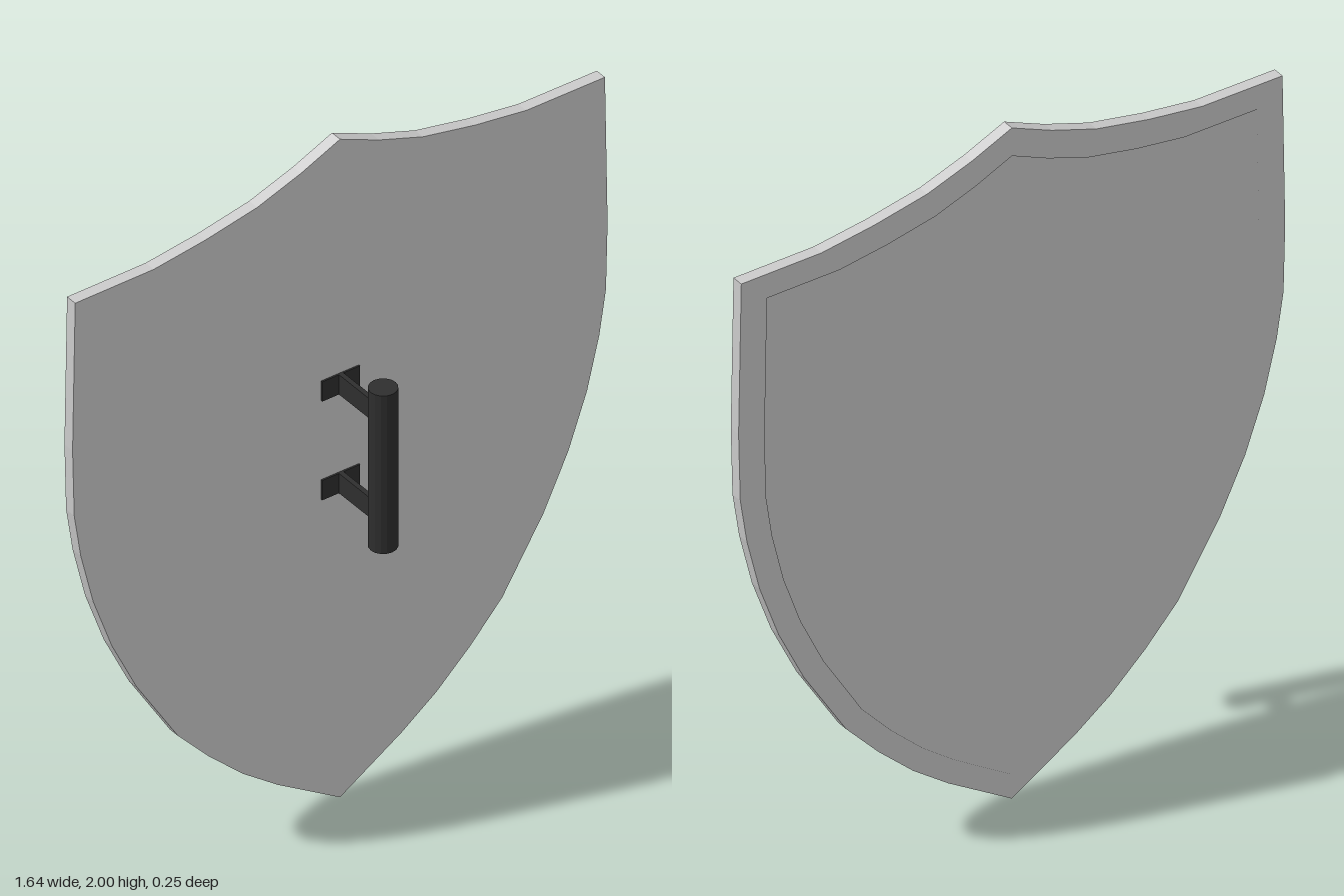
import * as THREE from 'three';

const BACK = -0.126, FRONT = -0.092, STEP = 0.003;

// Right half of the outline, from the top point down to the tip
const HALF = [
  [0, 2], [0.12, 1.947], [0.254, 1.9], [0.413, 1.868], [0.571, 1.846], [0.812, 1.845],
  [0.82, 1.4], [0.815, 1.2], [0.795, 1.07], [0.757, 0.915], [0.7, 0.757], [0.624, 0.6],
  [0.497, 0.397], [0.4, 0.292], [0.296, 0.196], [0.19, 0.118], [0, 0],
];

// Mirrored outline, optionally shrunk around the middle of the shield
function outline(sx = 1, sy = 1) {
  const mirrored = HALF.slice(1, -1).reverse().map(([x, y]) => [-x, y]);
  return [...HALF, ...mirrored].map(([x, y]) => new THREE.Vector2(x * sx, 0.93 + (y - 0.93) * sy));
}

export function createModel() {
  const model = new THREE.Group();
  const grey = new THREE.MeshStandardMaterial({ color: 0xcccccc, flatShading: true });
  const dark = new THREE.MeshStandardMaterial({ color: 0x2e2e2e, flatShading: true });

  function add(parent, name, geometry, material, x, y, z) {
    const mesh = new THREE.Mesh(geometry, material);
    mesh.name = name;
    mesh.position.set(x, y, z);
    parent.add(mesh);
  }
  const slab = (shape, depth) => new THREE.ExtrudeGeometry(shape, { depth, bevelEnabled: false });

  // Shield body, with a shallow border around the back panel
  add(model, 'shieldPlate', slab(new THREE.Shape(outline()), FRONT - BACK - STEP), grey, 0, 0, BACK + STEP);
  const border = new THREE.Shape(outline());
  border.holes.push(new THREE.Path(outline(0.905, 0.922)));
  add(model, 'backBorder', slab(border, STEP), grey, 0, 0, BACK);

  // Grip held off the plate by two brackets
  const handle = new THREE.Group();
  handle.name = 'handle';
  model.add(handle);
  const gripZ = 0.088;
  add(handle, 'grip', new THREE.CylinderGeometry(0.038, 0.038, 0.48, 16), dark, 0, 1.11, gripZ);
  for (const [side, y] of [['upper', 1.26], ['lower', 0.96]]) {
    const length = gripZ - FRONT;
    add(handle, side + 'BracketArm', new THREE.BoxGeometry(0.014, 0.06, length), dark, 0, y, FRONT + length / 2);
    add(handle, side + 'BracketFoot', new THREE.BoxGeometry(0.116, 0.06, 0.005), dark, 0, y, FRONT + 0.0025);
  }
  return model;
}
